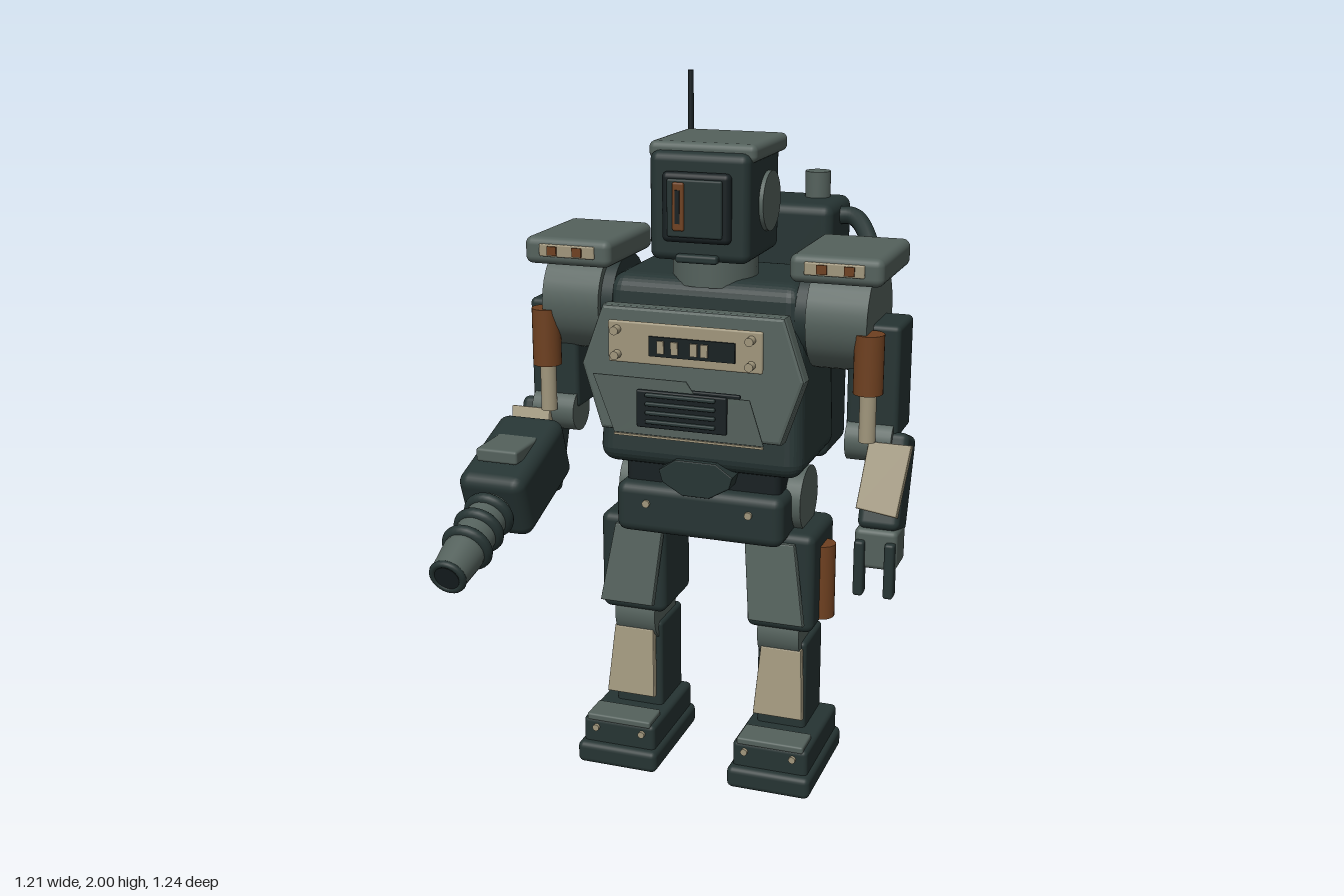
import * as THREE from 'three';
import { RoundedBoxGeometry } from 'three/addons/geometries/RoundedBoxGeometry.js';

const mat = (name, color) => new THREE.MeshStandardMaterial({ name, color });

export function createModel() {
  const dark = mat('dark armour', 0x263433);
  const grey = mat('grey green armour', 0x54615c);
  const beige = mat('worn beige', 0xa0967c);
  const rust = mat('rust', 0x6e4020);
  const black = mat('black trim', 0x182022);

  const model = new THREE.Group();
  model.name = 'robot';
  const body = new THREE.Group();
  body.name = 'body';
  body.position.x = 0.008;
  model.add(body);

  const add = (parent, name, geo, material, x, y, z) => {
    const m = new THREE.Mesh(geo, material);
    m.name = name;
    m.position.set(x, y, z);
    parent.add(m);
    return m;
  };
  // Rounded box given by its ranges in x, y and z
  const box = (parent, name, material, [x0, x1], [y0, y1], [z0, z1], r = 0.01) => {
    const w = Math.abs(x1 - x0), h = y1 - y0, d = z1 - z0;
    const geo = r > 0
      ? new RoundedBoxGeometry(w, h, d, 3, Math.min(r, w * 0.45, h * 0.45, d * 0.45))
      : new THREE.BoxGeometry(w, h, d);
    return add(parent, name, geo, material, (x0 + x1) / 2, (y0 + y1) / 2, (z0 + z1) / 2);
  };
  // Cylinder along a chosen axis
  const cyl = (parent, name, material, axis, r, len, x, y, z, r2 = r) => {
    const geo = new THREE.CylinderGeometry(r, r2, len, 28);
    if (axis === 'x') geo.rotateZ(Math.PI / 2);
    if (axis === 'z') geo.rotateX(Math.PI / 2);
    return add(parent, name, geo, material, x, y, z);
  };
  // Bevelled plate cut from an outline
  const plate = (parent, name, material, pts, depth, x, y, z, bevel = 0.004) => {
    const geo = new THREE.ExtrudeGeometry(new THREE.Shape(pts.map(p => new THREE.Vector2(...p))), {
      depth, bevelEnabled: bevel > 0, bevelSize: bevel, bevelThickness: bevel, bevelOffset: -bevel, bevelSegments: 2,
    });
    return add(parent, name, geo, material, x, y, z);
  };

  // Torso, its shoulders drawn in towards the top
  const torso = box(body, 'torso', dark, [-0.3, 0.3], [0.94, 1.48], [-0.31, 0.07], 0.045);
  const tp = torso.geometry.attributes.position;
  for (let i = 0; i < tp.count; i++) {
    const t = Math.max(0, tp.getY(i) / 0.27);
    tp.setX(i, tp.getX(i) * (1 - 0.07 * t));
    if (tp.getZ(i) > 0) tp.setZ(i, tp.getZ(i) - 0.05 * t);
  }
  torso.geometry.computeVertexNormals();
  box(body, 'waist', black, [-0.23, 0.23], [0.86, 0.96], [-0.26, 0.03], 0.02);
  plate(body, 'bellyGuard', dark,
    [[-0.06, 0.05], [0.06, 0.05], [0.11, 0.015], [0.1, -0.02], [0.04, -0.055], [-0.04, -0.055], [-0.1, -0.02], [-0.11, 0.015]],
    0.05, 0, 0.925, 0.03);
  box(body, 'pelvis', dark, [-0.25, 0.25], [0.735, 0.885], [-0.29, 0.07], 0.03);

  // Chest armour and the panels standing off it
  plate(body, 'chestPlate', grey,
    [[-0.262, 0.175], [0.262, 0.175], [0.322, 0.005], [0.262, -0.175], [-0.262, -0.175], [-0.322, 0.005]],
    0.04, 0, 1.235, 0.072, 0.01).rotation.x = -0.06;
  box(body, 'chestLabel', beige, [-0.22, 0.22], [1.27, 1.385], [0.158, 0.172], 0.005);
  box(body, 'chestWindow', black, [-0.1, 0.145], [1.295, 1.35], [0.17, 0.177], 0);
  for (const x of [-0.065, -0.025, 0.03, 0.06])
    box(body, 'windowMark', beige, [x - 0.01, x + 0.01], [1.305, 1.34], [0.175, 0.183], 0);
  for (const x of [-0.193, 0.19]) for (const y of [1.293, 1.362])
    cyl(body, 'labelBolt', beige, 'z', 0.012, 0.025, x, y, 0.185);
  plate(body, 'lowerChestPanel', grey,
    [[-0.26, 0.08], [0.01, 0.08], [0.035, 0.045], [0.19, 0.045], [0.23, -0.08], [-0.2, -0.08]], 0.004, 0, 1.155, 0.182, 0);
  box(body, 'panelEdge', beige, [-0.2, 0.23], [1.067, 1.073], [0.182, 0.188], 0);
  box(body, 'grille', black, [-0.128, 0.13], [1.1, 1.205], [0.188, 0.203], 0.005);
  for (let i = 0; i < 4; i++) {
    const y = 1.114 + i * 0.025;
    box(body, 'grilleSlat', dark, [-0.1, 0.1], [y, y + 0.011], [0.2, 0.213], 0.004);
    box(body, 'grilleBackSlat', black, [-0.153, 0.153], [y, y + 0.012], [0.142, 0.156], 0.004);
  }

  // Head
  cyl(body, 'neck', grey, 'y', 0.12, 0.1, 0, 1.51, -0.09);
  box(body, 'head', dark, [-0.142, 0.142], [1.535, 1.83], [-0.23, 0.06], 0.025);
  box(body, 'headCap', grey, [-0.153, 0.153], [1.803, 1.853], [-0.272, 0.032], 0.018);
  cyl(body, 'earDiscs', grey, 'x', 0.083, 0.308, 0, 1.685, -0.115);
  box(body, 'faceFrame', black, [-0.097, 0.097], [1.59, 1.78], [0.05, 0.085], 0.016);
  box(body, 'faceInset', dark, [-0.078, 0.078], [1.607, 1.763], [0.08, 0.093], 0.008);
  box(body, 'chin', dark, [-0.06, 0.06], [1.535, 1.558], [0.05, 0.08], 0.008);
  box(body, 'eyeSlot', rust, [-0.06, -0.027], [1.625, 1.755], [0.088, 0.1], 0.006);
  box(body, 'eyeSlit', black, [-0.05, -0.037], [1.645, 1.735], [0.098, 0.103], 0);

  // Backpack
  box(body, 'backpack', dark, [-0.272, 0.272], [0.89, 1.645], [-0.545, -0.307], 0.03);
  box(body, 'backPanel', grey, [-0.212, 0.212], [0.955, 1.58], [-0.58, -0.54], 0.006);
  for (const s of [-1, 1])
    box(body, 'backRail', beige, [s * 0.207, s * 0.232], [0.95, 1.587], [-0.602, -0.555], 0.008);
  box(body, 'backLabel', beige, [-0.2, 0.022], [1.42, 1.475], [-0.612, -0.578], 0.004);
  for (const x of [-0.155, -0.105, -0.03])
    box(body, 'backLabelMark', black, [x - 0.012, x + 0.012], [1.43, 1.462], [-0.619, -0.61], 0);
  for (let i = 0; i < 4; i++)
    box(body, 'backVent', black, [-0.135, 0.135], [1.11 + i * 0.062, 1.133 + i * 0.062], [-0.603, -0.575], 0.008);
  cyl(body, 'antennaBase', rust, 'y', 0.025, 0.06, -0.196, 1.665, -0.435);
  cyl(body, 'antenna', black, 'y', 0.008, 0.33, -0.196, 1.835, -0.435, 0.01);
  cyl(body, 'exhaust', grey, 'y', 0.037, 0.1, 0.187, 1.67, -0.468);
  const hosePath = new THREE.CatmullRomCurve3([[0.25, 1.6, -0.425], [0.31, 1.6, -0.42], [0.375, 1.54, -0.35], [0.405, 1.45, -0.26], [0.405, 1.42, -0.2]]
    .map(p => new THREE.Vector3(...p)));
  add(body, 'hose', new THREE.TubeGeometry(hosePath, 28, 0.026, 12), dark, 0, 0, 0);

  for (const s of [-1, 1]) {
    const xr = (a, b) => [s * a, s * b];
    const mir = pts => pts.map(([x, y]) => [s * x, y]);

    // Shoulder
    const arm = new THREE.Group();
    arm.name = s > 0 ? 'leftArm' : 'rightArm';
    body.add(arm);
    cyl(arm, 'shoulderJoint', grey, 'x', 0.15, 0.17, s * 0.385, 1.385, -0.1);
    cyl(arm, 'shoulderCollar', dark, 'x', 0.13, 0.06, s * 0.295, 1.385, -0.1);
    box(arm, 'shoulderPlate', grey, xr(0.256, 0.514), [1.5, 1.577], [-0.27, 0.067], 0.022);
    box(arm, 'shoulderStrip', beige, xr(0.3, 0.465), [1.525, 1.56], [0.06, 0.073], 0.004);
    for (const x of [0.35, 0.425])
      box(arm, 'shoulderLight', rust, xr(x - 0.014, x + 0.014), [1.53, 1.555], [0.07, 0.078], 0);

    // Upper arm with its piston
    box(arm, 'upperArm', dark, xr(0.4, 0.545), [1.06, 1.38], [-0.195, -0.028], 0.015);
    cyl(arm, 'pistonSleeve', rust, 'y', 0.041, 0.165, s * 0.472, 1.285, 0.02);
    cyl(arm, 'pistonRod', beige, 'y', 0.023, 0.15, s * 0.472, 1.14, 0.016);
    cyl(arm, 'elbow', grey, 'x', 0.062, 0.13, s * 0.47, 1.05, -0.06);

    // Forearm leaning forward
    const fore = new THREE.Group();
    fore.name = 'forearm';
    fore.position.set(s * 0.52, 0.945, -0.035);
    fore.rotation.x = -0.37;
    arm.add(fore);
    box(fore, 'forearmCore', dark, [-0.058, 0.058], [-0.14, 0.13], [-0.065, 0.06], 0.02);
    plate(fore, 'forearmPlate', beige, mir([[-0.045, 0.1], [0.075, 0.1], [0.055, -0.1], [-0.06, -0.085]]), 0.02, 0, -0.005, 0.06);
    if (s > 0) {
      box(arm, 'palm', grey, [0.457, 0.577], [0.715, 0.83], [-0.04, 0.07], 0.015);
      for (const x of [0.475, 0.56])
        box(arm, 'finger', dark, [x - 0.014, x + 0.014], [0.64, 0.8], [0.048, 0.09], 0.008);
      box(arm, 'thumb', dark, [0.505, 0.53], [0.7, 0.78], [-0.05, -0.01], 0.008);
    }

    // Leg
    const leg = new THREE.Group();
    leg.name = s > 0 ? 'leftLeg' : 'rightLeg';
    body.add(leg);
    cyl(leg, 'hipJoint', grey, 'x', 0.095, 0.15, s * 0.2, 0.835, -0.12);
    box(leg, 'thigh', dark, xr(0.125, 0.325), [0.46, 0.76], [-0.23, 0.003], 0.025);
    plate(leg, 'thighPlate', grey, mir([[0.125, 0.118], [0.272, 0.118], [0.31, -0.118], [0.147, -0.118]]), 0.018, 0, 0.617, 0.012)
      .rotation.x = -0.13;
    cyl(leg, 'thighCanister', rust, 'y', 0.038, 0.225, s * 0.322, 0.592, -0.112);
    cyl(leg, 'knee', grey, 'x', 0.092, 0.125, s * 0.222, 0.44, -0.095);
    box(leg, 'shin', dark, xr(0.15, 0.298), [0.13, 0.415], [-0.218, -0.037], 0.014);
    plate(leg, 'shinPlate', beige, mir([[0.168, 0.104], [0.29, 0.104], [0.305, -0.104], [0.155, -0.104]]), 0.02, 0, 0.293, -0.02)
      .rotation.x = -0.15;
    box(leg, 'footSole', dark, xr(0.11, 0.36), [0, 0.067], [-0.235, 0.132], 0.018);
    box(leg, 'footUpper', dark, xr(0.122, 0.347), [0.055, 0.142], [-0.225, 0.108], 0.014);
    box(leg, 'toePlate', grey, xr(0.135, 0.335), [0.135, 0.156], [0.015, 0.11], 0.006);
    for (const x of [0.16, 0.305])
      cyl(leg, 'footBolt', beige, 'z', 0.01, 0.02, s * x, 0.115, 0.108);
    cyl(leg, 'pelvisBolt', beige, 'z', 0.011, 0.016, s * 0.153, 0.83, 0.07);
  }

  // Cannon on the right arm, pointing forward and down
  const cannon = new THREE.Group();
  cannon.name = 'cannon';
  cannon.position.set(-0.516, 0.853, 0.317);
  cannon.rotation.x = 0.335;
  body.add(cannon);
  box(cannon, 'cannonBody', dark, [-0.1, 0.1], [-0.098, 0.098], [-0.33, 0], 0.035);
  cyl(cannon, 'barrel', grey, 'z', 0.058, 0.2, 0, 0, 0.1);
  cyl(cannon, 'muzzle', grey, 'z', 0.05, 0.1, 0, 0, 0.245, 0.059);
  add(cannon, 'muzzleRim', new THREE.TorusGeometry(0.044, 0.01, 10, 28), dark, 0, 0, 0.292);
  cyl(cannon, 'muzzleBore', black, 'z', 0.036, 0.006, 0, 0, 0.296);
  for (const z of [0.025, 0.093, 0.168])
    add(cannon, 'barrelRing', new THREE.TorusGeometry(0.056, 0.018, 12, 28), dark, 0, 0, z);
  box(body, 'cannonTopPlate', grey, [-0.577, -0.452], [0.978, 1.017], [0, 0.287], 0.008);
  return model;
}
